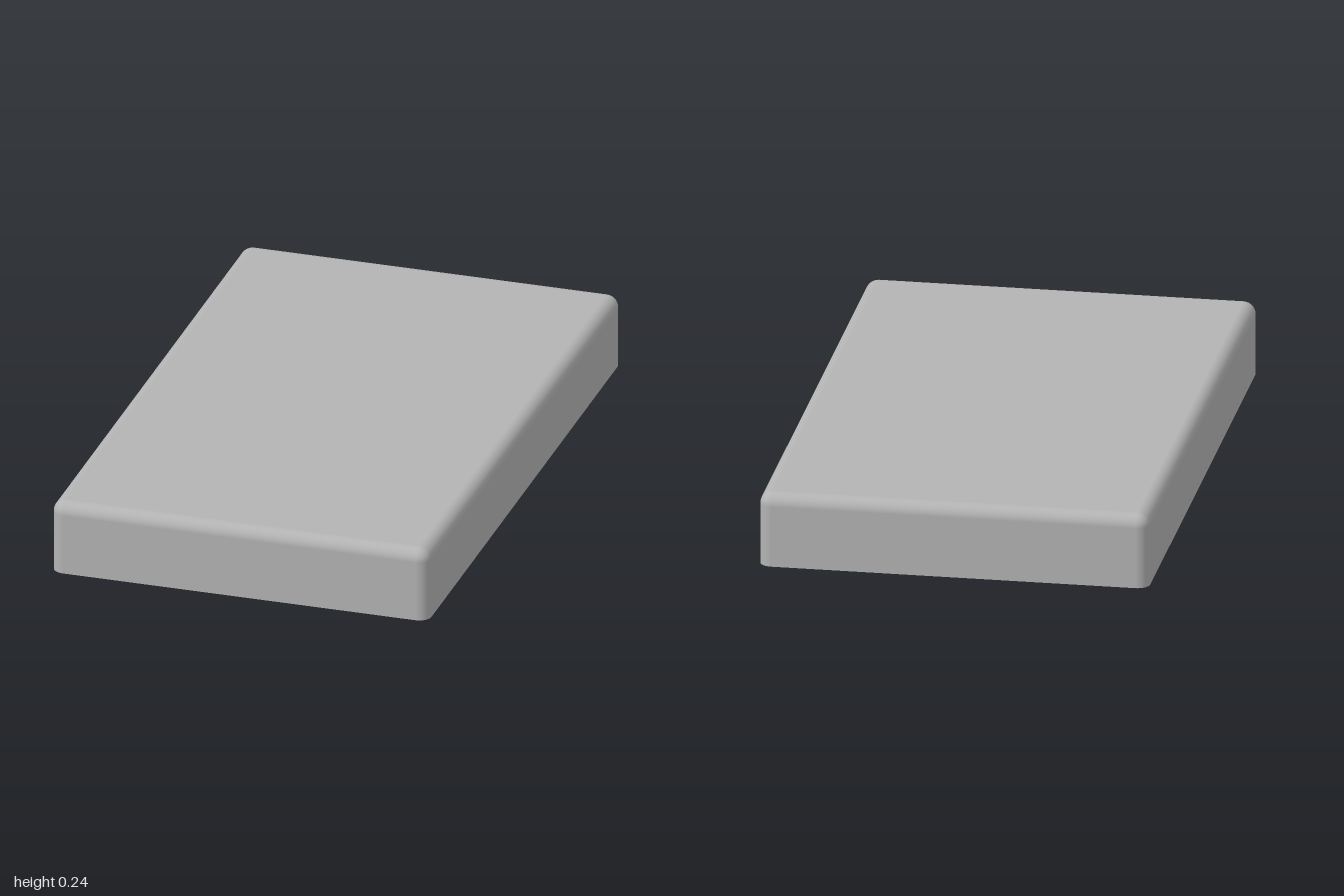
import * as THREE from 'three';
import { toCreasedNormals } from 'three/addons/utils/BufferGeometryUtils.js';
import { RoundedBoxGeometry } from 'three/addons/geometries/RoundedBoxGeometry.js';

const W = 1.224, D = 2, H = 0.237, R = 0.04, WALL = 0.04;
const CEILING = 0.17, POCKET_TOP = 0.222;

// Rounded rectangle outline, on a shape or a hole path
function roundedRect(path, w, d, r) {
  const x = w / 2 - r, y = d / 2 - r;
  path.absarc(x, y, r, 0, Math.PI / 2);
  path.absarc(-x, y, r, Math.PI / 2, Math.PI);
  path.absarc(-x, -y, r, Math.PI, Math.PI * 1.5);
  path.absarc(x, -y, r, Math.PI * 1.5, Math.PI * 2);
  path.closePath();
  return path;
}

// Upright slab from a plan outline
function slab(shape, bottom, top) {
  const g = new THREE.ExtrudeGeometry(shape, { depth: top - bottom, bevelEnabled: false, curveSegments: 8 });
  g.rotateX(Math.PI / 2).translate(0, top, 0);
  return toCreasedNormals(g, 0.6);
}

// Rounded box cut flat and left open at y = 0
function openShell() {
  const src = new RoundedBoxGeometry(W, H * 2, D, 6, R);
  const p = src.attributes.position, n = src.attributes.normal;
  const pos = [], nor = [];
  for (let i = 0; i < p.count; i += 3) {
    if (Math.max(p.getY(i), p.getY(i + 1), p.getY(i + 2)) < 1e-4) continue;
    for (let k = i; k < i + 3; k++) {
      pos.push(p.getX(k), Math.max(0, p.getY(k)), p.getZ(k));
      nor.push(n.getX(k), n.getY(k), n.getZ(k));
    }
  }
  const g = new THREE.BufferGeometry();
  g.setAttribute('position', new THREE.Float32BufferAttribute(pos, 3));
  g.setAttribute('normal', new THREE.Float32BufferAttribute(nor, 3));
  return g;
}

// Hexagon hole, cut off at the side limits of the pattern
function hexHole(cx, cz, apothem, limit) {
  const clamp = x => THREE.MathUtils.clamp(x, -limit, limit);
  const xs = [...new Set([cx - apothem, cx, cx + apothem].map(clamp))];
  const half = x => (apothem * 2 - Math.abs(x - cx)) / Math.sqrt(3);
  const pts = xs.map(x => new THREE.Vector2(x, cz - half(x)));
  xs.reverse().forEach(x => pts.push(new THREE.Vector2(x, cz + half(x))));
  return new THREE.Path(pts);
}

export function createModel() {
  const group = new THREE.Group();
  const grey = new THREE.MeshStandardMaterial({ color: 0xb3b3b3 });
  grey.name = 'grey plastic';
  const add = (name, geometry) => {
    const mesh = new THREE.Mesh(geometry, grey);
    mesh.name = name;
    group.add(mesh);
    return mesh;
  };

  add('outerShell', openShell());

  // Inner side walls and bottom rim
  const frame = roundedRect(new THREE.Shape(), W - 0.002, D - 0.002, R);
  frame.holes.push(roundedRect(new THREE.Path(), W - 2 * WALL, D - 2 * WALL, 0.015));
  add('innerWalls', slab(frame, 0, CEILING + 0.01));

  // Honeycomb panel under the top
  const panel = roundedRect(new THREE.Shape(), W - 2 * WALL, D - 2 * WALL, 0.015);
  const pitch = 0.141, rowStep = pitch * Math.sqrt(3) / 2;
  for (let row = -6; row <= 6; row++) {
    const count = row % 2 ? 6 : 7;
    for (let i = 0; i < count; i++) {
      panel.holes.push(hexHole((i - (count - 1) / 2) * pitch, row * rowStep, 0.049, 0.386));
    }
  }
  add('honeycombPanel', slab(panel, CEILING, POCKET_TOP));

  // Closed ends of the pockets
  const ends = new THREE.PlaneGeometry(W - 2 * WALL, D - 2 * WALL);
  ends.rotateX(Math.PI / 2).translate(0, POCKET_TOP, 0);
  add('pocketEnds', ends);

  // Snap bumps on the long inner walls
  const bump = new THREE.SphereGeometry(0.028, 20, 14);
  for (const sx of [-1, 1]) for (const sz of [-1, 1]) {
    add('snapBump', bump).position.set(sx * (W / 2 - WALL), 0.09, sz * 0.5);
  }
  return group;
}
